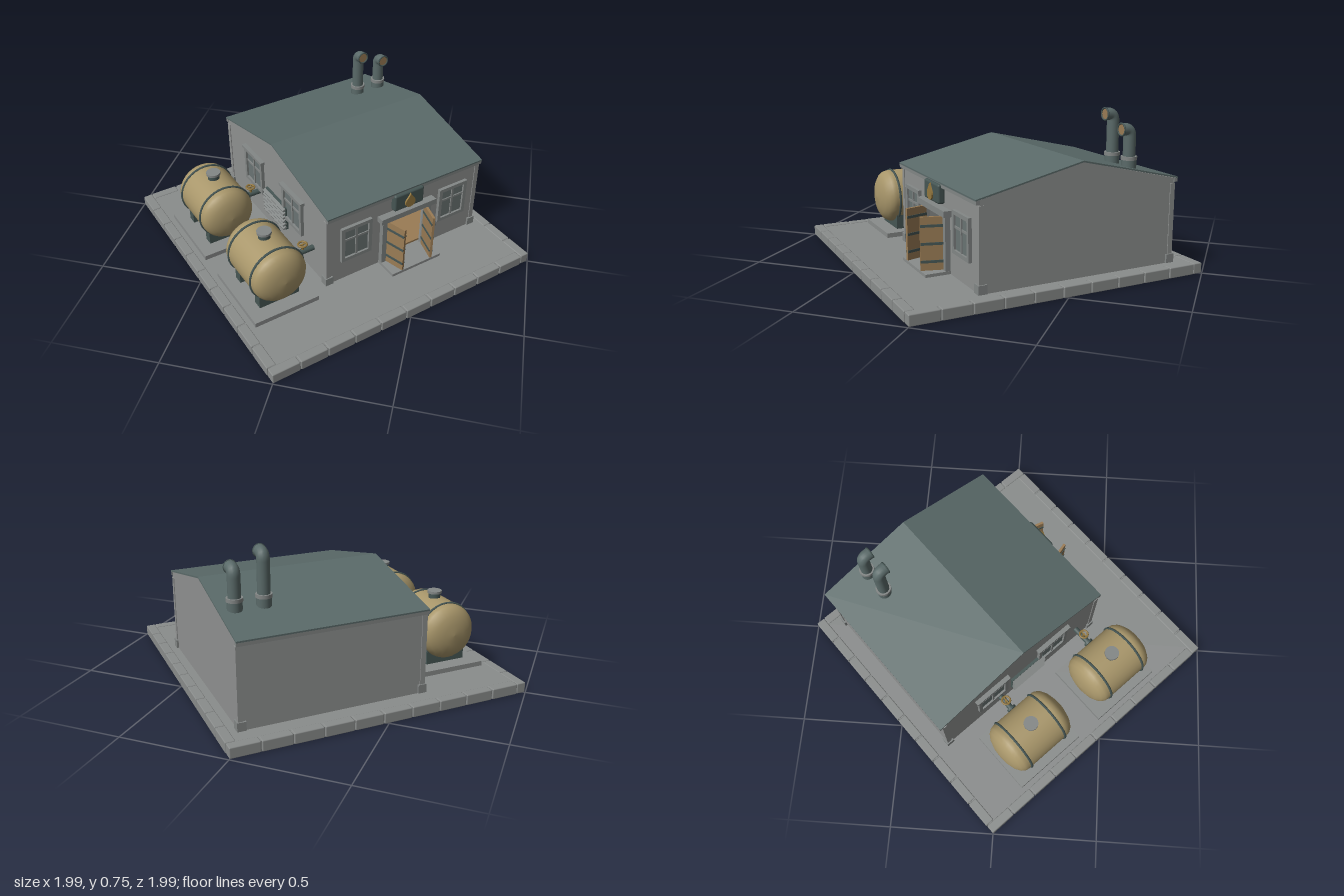
import * as THREE from 'three';
import { RoundedBoxGeometry } from 'three/addons/geometries/RoundedBoxGeometry.js';

const mat = (name, color, side = THREE.FrontSide) => {
  const m = new THREE.MeshStandardMaterial({ color, side });
  m.name = name;
  return m;
};

export function createModel() {
  const M = {
    wall: mat('wallGrey', 0x8f9190),
    stone: mat('stoneGrey', 0x8a8d8c),
    trim: mat('trimGrey', 0x838786),
    roof: mat('roofTeal', 0x5a6a69),
    metal: mat('darkMetal', 0x465654),
    glass: mat('windowGlass', 0x6a7473),
    tank: mat('tankTan', 0xa8966a),
    wood: mat('doorWood', 0x9a7c55),
    gold: mat('brass', 0x94783f),
  };
  const model = new THREE.Group();
  model.name = 'depot';
  const yard = new THREE.Group();
  yard.name = 'yard';
  yard.rotation.y = Math.PI / 4;
  model.add(yard);

  const add = (parent, name, geo, m, x = 0, y = 0, z = 0) => {
    const mesh = new THREE.Mesh(geo, m);
    mesh.name = name;
    mesh.position.set(x, y, z);
    parent.add(mesh);
    return mesh;
  };
  const box = (p, name, m, w, h, d, x, y, z) => add(p, name, new THREE.BoxGeometry(w, h, d), m, x, y, z);
  const cyl = (p, name, m, r, h, x, y, z, seg = 20) =>
    add(p, name, new THREE.CylinderGeometry(r, r, h, seg), m, x, y, z);
  const group = (p, name, x = 0, y = 0, z = 0) => {
    const g = new THREE.Group();
    g.name = name;
    g.position.set(x, y, z);
    p.add(g);
    return g;
  };
  const poly = (pts) => new THREE.Shape(pts.map(([x, y]) => new THREE.Vector2(x, y)));
  const extrude = (shape, depth) => new THREE.ExtrudeGeometry(shape, { depth, bevelEnabled: false, curveSegments: 8 });

  // Paved base with a border of kerb stones
  const half = 0.707, kerb = 0.045;
  box(yard, 'baseSlab', M.stone, 1.4, 0.046, 1.4, 0, 0.023, 0);
  const run = 2 * half - kerb, step = run / 10;
  for (let s = 0; s < 4; s++) {
    const side = group(yard, 'kerbSide');
    side.rotation.y = s * Math.PI / 2;
    for (let i = 0; i < 10; i++) {
      add(side, 'kerbStone', new RoundedBoxGeometry(step - 0.004, 0.05, kerb, 1, 0.005), M.stone,
        -half + step * (i + 0.5), 0.025, half - kerb / 2);
    }
  }

  // House shell: hollow, with an open doorway
  const house = group(yard, 'house', 0.195, 0, -0.11);
  const HX = 0.43, HZ = 0.48, EAVE = 0.438, RIDGE = 0.55;
  const gable = poly([[-HZ, 0.046], [HZ, 0.046], [HZ, EAVE], [0, RIDGE], [-HZ, EAVE]]);
  for (const x of [-HX, HX - 0.02]) {
    const g = add(house, 'gableWall', extrude(gable, 0.02), M.wall, x, 0, 0);
    g.rotation.y = Math.PI / 2;
  }
  box(house, 'backWall', M.wall, 2 * HX - 0.04, EAVE - 0.046, 0.02, 0, (EAVE + 0.046) / 2, -HZ + 0.01);
  const DW = 0.115, DH = 0.305;
  const front = poly([[-HX + 0.02, 0.046], [-DW, 0.046], [-DW, DH], [DW, DH], [DW, 0.046],
    [HX - 0.02, 0.046], [HX - 0.02, EAVE], [-HX + 0.02, EAVE]]);
  add(house, 'frontWall', extrude(front, 0.02), M.wall, 0, 0, HZ - 0.02);
  box(house, 'innerFloor', M.wood, 0.82, 0.01, 0.9, 0, 0.053, 0);

  // Corner bases and plinth strips
  for (const sx of [-1, 1]) {
    for (const sz of [-1, 1]) {
      box(house, 'cornerPost', M.wall, 0.024, 0.37, 0.024, sx * (HX - 0.008), 0.23, sz * (HZ - 0.008));
      box(house, 'cornerFoot', M.trim, 0.04, 0.04, 0.04, sx * (HX - 0.01), 0.068, sz * (HZ - 0.01));
    }
    box(house, 'eaveBoard', M.trim, 2 * HX + 0.008, 0.018, 0.018, 0, 0.429, sx * (HZ + 0.008));
  }

  // Roof: a thin folded slab
  const RZ = 0.498;
  const roof = add(house, 'roof', extrude(poly([[-RZ, 0.436], [0, 0.55], [RZ, 0.436],
    [RZ, 0.443], [0, 0.557], [-RZ, 0.443]]), 0.87), M.roof, -0.435, 0, 0);
  roof.rotation.y = Math.PI / 2;

  // Framed four-pane windows
  const windowAt = (parent, w, h) => {
    const t = 0.018;
    box(parent, 'pane', M.glass, w - t, h - t, 0.006, 0, 0, 0.003);
    for (const s of [-1, 1]) {
      box(parent, 'frameSide', M.trim, t, h, 0.02, s * (w - t) / 2, 0, 0.006);
      box(parent, 'frameRail', M.trim, w - 2 * t, t, 0.02, 0, s * (h - t) / 2, 0.006);
    }
    box(parent, 'mullion', M.trim, 0.01, h - 2 * t, 0.014, 0, 0, 0.005);
    box(parent, 'crossBar', M.trim, w - 2 * t, 0.01, 0.012, 0, h * 0.12, 0.005);
  };
  for (const s of [-1, 1]) {
    windowAt(group(house, 'frontWindow', s * 0.276, 0.255, HZ), 0.165, 0.19);
    const g = group(house, 'gableWindow', -HX, 0.295, s * 0.19);
    g.rotation.y = -Math.PI / 2;
    windowAt(g, 0.18, 0.19);
    box(g, 'windowHood', M.trim, 0.2, 0.015, 0.026, 0, 0.095, 0.009);
  }

  // Louvred vent on the gable
  const vent = group(house, 'vent', -HX, 0.2, 0.03);
  box(vent, 'ventBack', M.metal, 0.016, 0.13, 0.2, -0.006, 0, 0);
  for (let i = 0; i < 6; i++) {
    box(vent, 'louvre', M.trim, 0.022, 0.01, 0.2, -0.018, -0.055 + i * 0.022, 0).rotation.z = 0.4;
  }

  // Doorway, step and two open leaves
  const door = group(house, 'doorway', 0, 0, HZ);
  box(door, 'doorStep', M.stone, 0.28, 0.014, 0.12, 0, 0.053, 0.058);
  box(door, 'lintel', M.trim, 0.31, 0.028, 0.045, 0, 0.319, 0.014);
  for (const s of [-1, 1]) {
    box(door, 'doorJamb', M.trim, 0.026, 0.26, 0.032, s * (DW + 0.011), 0.178, 0.008);
    const leaf = group(door, 'doorLeaf', s * (DW - 0.004), 0.182, 0.012);
    leaf.rotation.y = -s * 0.27;
    box(leaf, 'leafPanel', M.wood, 0.012, 0.24, 0.11, 0, 0, 0.055);
    for (const y of [-0.08, 0, 0.08]) box(leaf, 'leafBand', M.metal, 0.018, 0.012, 0.108, 0, y, 0.055);
  }

  // Plaque with a drop emblem
  const plaque = group(house, 'plaque', 0, 0.39, HZ);
  add(plaque, 'plaqueBoard', new RoundedBoxGeometry(0.165, 0.088, 0.034, 2, 0.01), M.metal, 0, 0, 0.014);
  const drop = new THREE.Shape();
  drop.moveTo(0, 0.038);
  drop.bezierCurveTo(0.01, 0.015, 0.028, 0.005, 0.028, -0.011);
  drop.bezierCurveTo(0.028, -0.045, -0.028, -0.045, -0.028, -0.011);
  drop.bezierCurveTo(-0.028, 0.005, -0.01, 0.015, 0, 0.038);
  add(plaque, 'drop', extrude(drop, 0.009), M.gold, 0, 0, 0.03);

  // Bent flue pipes
  for (const [x, top] of [[0.236, 0.715], [0.364, 0.662]]) {
    const flue = group(house, 'flue', x, 0, -0.279);
    const path = new THREE.CurvePath();
    const v = (y, z) => new THREE.Vector3(0, y, z);
    path.add(new THREE.LineCurve3(v(0.46, 0), v(top - 0.03, 0)));
    path.add(new THREE.QuadraticBezierCurve3(v(top - 0.03, 0), v(top, 0), v(top, 0.03)));
    path.add(new THREE.LineCurve3(v(top, 0.03), v(top, 0.045)));
    add(flue, 'fluePipe', new THREE.TubeGeometry(path, 36, 0.028, 16), M.roof);
    add(flue, 'flueMouth', new THREE.CircleGeometry(0.027, 16), M.wood, 0, top, 0.044);
    add(flue, 'flueRim', new THREE.TorusGeometry(0.027, 0.004, 6, 16), M.metal, 0, top, 0.044);
    cyl(flue, 'flueCollar', M.trim, 0.036, 0.016, 0, 0.535, 0);
    cyl(flue, 'flueBase', M.roof, 0.033, 0.06, 0, 0.5, 0);
  }

  // Storage tanks on pads, each piped to the house
  const R = 0.132;
  const profile = [[0, -0.188], [0.05, -0.184], [0.09, -0.172], [0.115, -0.156], [0.128, -0.138], [R, -0.12],
    [R, 0.12], [0.128, 0.138], [0.115, 0.156], [0.09, 0.172], [0.05, 0.184], [0, 0.188]]
    .map(([x, y]) => new THREE.Vector2(x, y));
  for (const z of [-0.27, 0.243]) {
    const tank = group(yard, 'tank', -0.477, 0, z);
    box(tank, 'pad', M.stone, 0.322, 0.024, 0.38, 0, 0.057, 0);
    add(tank, 'tankBody', new THREE.LatheGeometry(profile, 32), M.tank, 0, 0.225, 0).rotation.x = Math.PI / 2;
    for (const s of [-1, 1]) {
      add(tank, 'tankBand', new THREE.TorusGeometry(R + 0.001, 0.006, 6, 32), M.metal, 0, 0.225, s * 0.105);
      box(tank, 'saddle', M.metal, 0.2, 0.085, 0.045, 0, 0.108, s * 0.095);
    }
    cyl(tank, 'hatchNeck', M.metal, 0.028, 0.04, 0, 0.36, 0);
    cyl(tank, 'hatchLid', M.trim, 0.034, 0.012, 0, 0.384, 0);
    cyl(tank, 'feedPipe', M.metal, 0.014, 0.16, 0.17, 0.19, 0.01, 12).rotation.z = Math.PI / 2;
    cyl(tank, 'pipeFlange', M.metal, 0.024, 0.012, 0.145, 0.19, 0.01, 12).rotation.z = Math.PI / 2;
    cyl(tank, 'valveStem', M.gold, 0.006, 0.045, 0.185, 0.21, 0.01, 8);
    add(tank, 'valveWheel', new THREE.TorusGeometry(0.02, 0.005, 6, 16), M.gold, 0.185, 0.232, 0.01).rotation.x = Math.PI / 2;
    box(tank, 'valveSpoke', M.gold, 0.04, 0.005, 0.006, 0.185, 0.232, 0.01);
  }
  return model;
}
